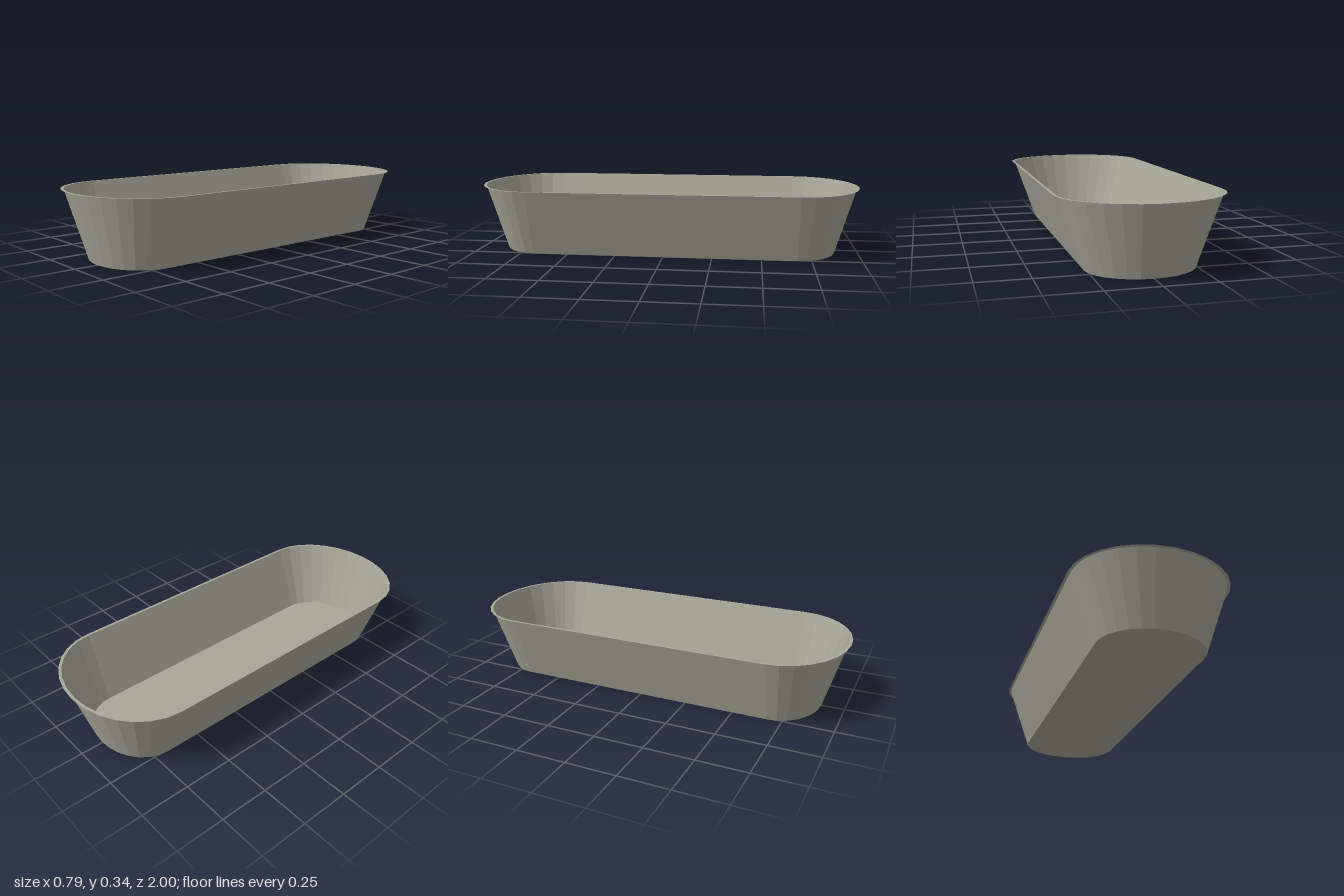
import * as THREE from 'three';

const SEGMENTS = 14; // facets on each rounded end
const STRAIGHT = 0.68; // half length of the straight sides

// Closed outline with straight sides and elliptical ends
function outline(halfWidth, halfLength, y) {
  const points = [];
  for (const side of [1, -1]) {
    for (let i = 0; i <= SEGMENTS; i++) {
      const a = (i / SEGMENTS) * Math.PI;
      points.push([
        side * halfWidth * Math.cos(a),
        y,
        side * (STRAIGHT + (halfLength - STRAIGHT) * Math.sin(a)),
      ]);
    }
  }
  return points;
}

// Band of quads joining two outlines, lower or inner one first
function band(a, b) {
  const n = a.length;
  const index = [];
  for (let i = 0; i < n; i++) {
    const j = (i + 1) % n;
    index.push(i, n + i, j, j, n + i, n + j);
  }
  return surface([...a, ...b], index);
}

// Flat fan filling an outline, facing up
function fan(points) {
  const index = [];
  for (let i = 1; i < points.length - 1; i++) index.push(0, i + 1, i);
  return surface(points, index);
}

function surface(points, index) {
  const geometry = new THREE.BufferGeometry();
  geometry.setAttribute('position', new THREE.Float32BufferAttribute(points.flat(), 3));
  geometry.setIndex(index);
  const flat = geometry.toNonIndexed();
  flat.computeVertexNormals();
  return flat;
}

export function createModel() {
  const group = new THREE.Group();
  group.name = 'trough';
  const metal = new THREE.MeshStandardMaterial({
    color: 0xa8a899, side: THREE.DoubleSide, flatShading: true,
  });
  metal.name = 'grey metal';

  const bottom = outline(0.26, 0.885, 0);
  const top = outline(0.38, 0.985, 0.343);
  const lip = outline(0.394, 1.0, 0.343);

  // Thin sheet floor, sloping wall and flat outward rim
  const parts = { floor: fan(bottom), wall: band(bottom, top), rim: band(top, lip) };
  for (const [name, geometry] of Object.entries(parts)) {
    const mesh = new THREE.Mesh(geometry, metal);
    mesh.name = name;
    group.add(mesh);
  }
  return group;
}
